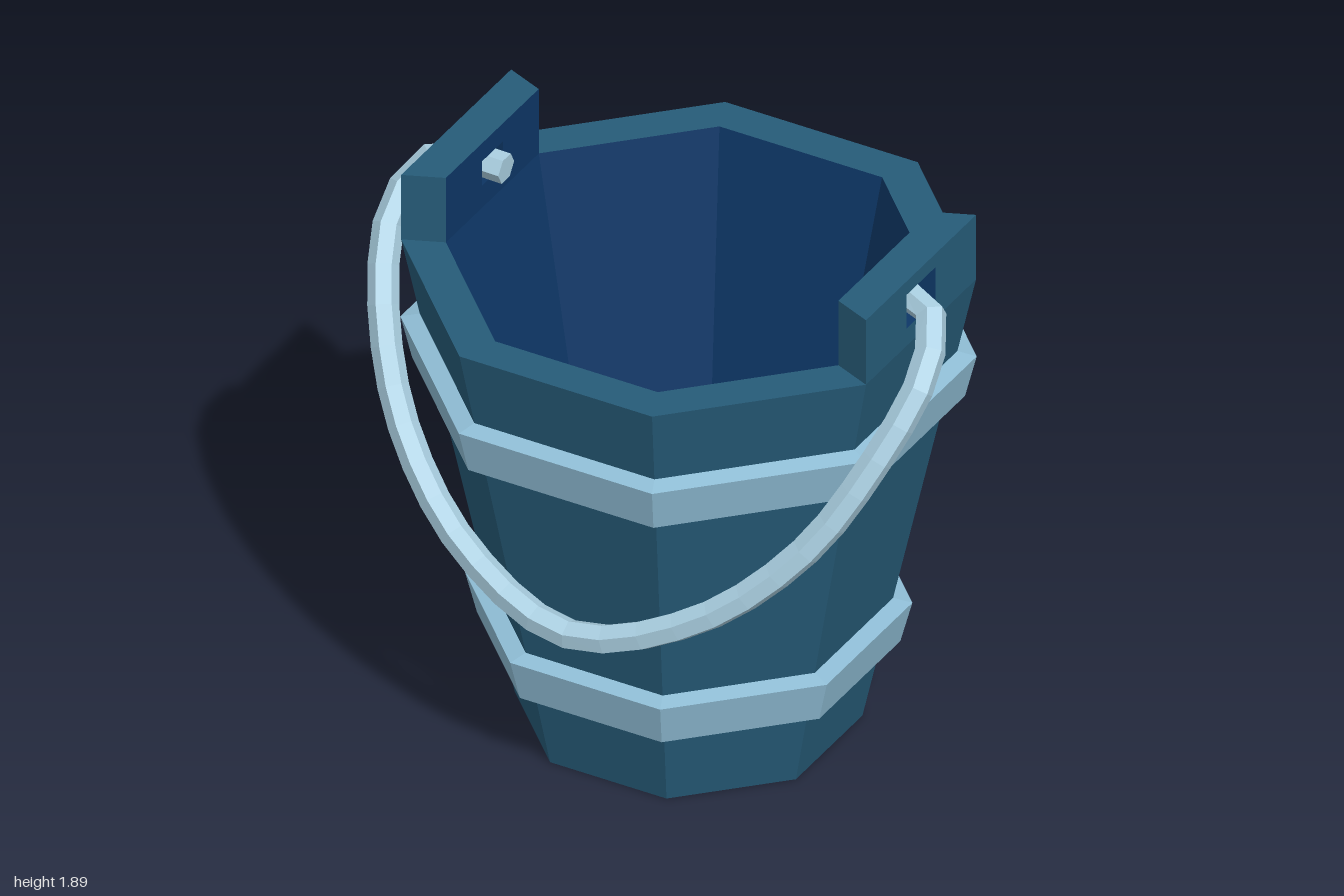
import * as THREE from 'three';

const mat = (name, color, extra = {}) => {
  const m = new THREE.MeshStandardMaterial({ color, flatShading: true, ...extra });
  m.name = name;
  return m;
};

export function createModel() {
  const model = new THREE.Group();
  model.name = 'bucket';
  const wood = mat('blue wood', 0x265b78);
  const lining = mat('dark navy lining', 0x0d3665);
  const metal = mat('pale blue hoop', 0x8fbdd5);
  const steel = mat('light handle metal', 0xa9cee0, { side: THREE.DoubleSide });

  const add = (name, geometry, material, parent = model) => {
    const mesh = new THREE.Mesh(geometry, material);
    mesh.name = name;
    parent.add(mesh);
    return mesh;
  };

  // Eight-sided solid; the profile is given as [distance to flat side, height]
  const octagon = (profile) => new THREE.LatheGeometry(
    profile.map(([a, y]) => new THREE.Vector2(a / Math.cos(Math.PI / 8), y)), 8, Math.PI / 8);

  // Tub: outside with rim, and dark inside with floor
  add('tubOutside', octagon([[0, 0], [0.505, 0], [0.835, 1.655], [0.705, 1.655]]), wood);
  add('tubInside', octagon([[0.705, 1.655], [0.43, 0.28], [0, 0.28]]), lining);

  // Hoops
  add('lowerHoop', octagon([[0.55, 0.287], [0.615, 0.287], [0.65, 0.433], [0.592, 0.447]]), metal);
  add('upperHoop', octagon([[0.735, 1.218], [0.803, 1.218], [0.837, 1.368], [0.778, 1.384]]), metal);

  // Lugs: upright tapered plates with a tapered rectangular hole
  const ring = (x, z, y0, y1) => [[x, y0, z], [x, y0, -z], [x, y1, -z], [x, y1, z]];
  const strip = (a, b) => {
    const pos = [];
    for (let i = 0; i < 4; i++) {
      const j = (i + 1) % 4;
      pos.push(...a[i], ...a[j], ...b[j], ...a[i], ...b[j], ...b[i]);
    }
    const g = new THREE.BufferGeometry();
    g.setAttribute('position', new THREE.Float32BufferAttribute(pos, 3));
    g.computeVertexNormals();
    return g;
  };
  const outerEdge = ring(0.835, 0.346, 1.655, 1.895);
  const outerHole = ring(0.835, 0.092, 1.72, 1.845);
  const innerHole = ring(0.705, 0.066, 1.738, 1.828);
  const innerEdge = ring(0.705, 0.292, 1.655, 1.895);
  for (const [name, turn] of [['leftLug', 0], ['rightLug', Math.PI]]) {
    const lug = new THREE.Group();
    lug.name = name;
    lug.rotation.y = turn;
    add('lugOuterFace', strip(outerEdge, outerHole), wood, lug);
    add('lugHole', strip(outerHole, innerHole), lining, lug);
    add('lugInnerFace', strip(innerHole, innerEdge), lining, lug);
    add('lugEdges', strip(innerEdge, outerEdge), wood, lug);
    model.add(lug);
  }

  // Handle: six-sided bar hanging down over the front
  const half = [
    [0.655, 1.78, 0], [0.76, 1.785, 0], [0.88, 1.775, 0.03], [0.94, 1.71, 0.12],
    [0.953, 1.62, 0.21], [0.885, 1.4, 0.37], [0.72, 1.1, 0.53], [0.42, 0.83, 0.672],
  ];
  const path = [
    ...half.map(([x, y, z]) => new THREE.Vector3(-x, y, z)),
    new THREE.Vector3(0, 0.685, 0.752),
    ...half.map(([x, y, z]) => new THREE.Vector3(x, y, z)).reverse(),
  ];
  const sides = 6, steps = 32;
  const bar = new THREE.TubeGeometry(new THREE.CatmullRomCurve3(path), steps, 0.05, sides);
  add('handle', bar, steel);

  // Flat ends closing the bar
  const p = bar.attributes.position;
  for (const [name, step] of [['rightHandleEnd', 0], ['leftHandleEnd', steps]]) {
    const pts = [];
    for (let i = 1; i < sides - 1; i++) {
      for (const k of [0, i, i + 1]) {
        const v = step * (sides + 1) + k;
        pts.push(p.getX(v), p.getY(v), p.getZ(v));
      }
    }
    const cap = new THREE.BufferGeometry();
    cap.setAttribute('position', new THREE.Float32BufferAttribute(pts, 3));
    cap.computeVertexNormals();
    add(name, cap, steel);
  }
  return model;
}
